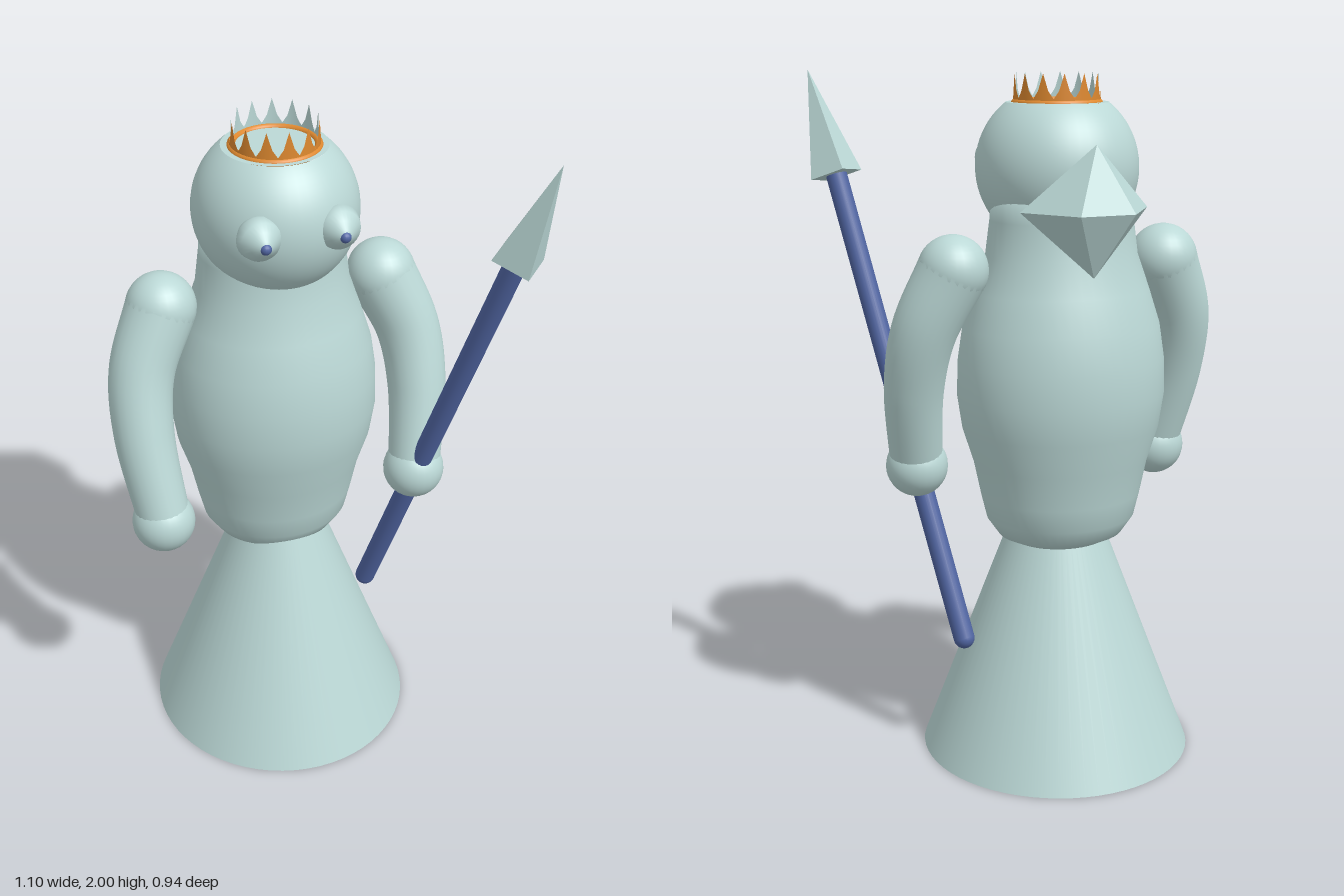
import * as THREE from 'three';
import { toCreasedNormals } from 'three/addons/utils/BufferGeometryUtils.js';
import { ConvexGeometry } from 'three/addons/geometries/ConvexGeometry.js';

const material = (name, color, opts = {}) => {
  const m = new THREE.MeshStandardMaterial({ color, ...opts });
  m.name = name;
  return m;
};

const v = (x, y, z) => new THREE.Vector3(x, y, z);

// Tube whose radius runs evenly from r0 to r1
function taperedTube(curve, r0, r1, steps = 32) {
  const sides = 24;
  const geo = new THREE.TubeGeometry(curve, steps, 1, sides);
  const pos = geo.attributes.position;
  const p = v(0, 0, 0);
  for (let i = 0; i <= steps; i++) {
    const c = curve.getPointAt(i / steps);
    const r = r0 + (r1 - r0) * (i / steps);
    for (let j = 0; j <= sides; j++) {
      const k = i * (sides + 1) + j;
      p.fromBufferAttribute(pos, k).sub(c).multiplyScalar(r).add(c);
      pos.setXYZ(k, p.x, p.y, p.z);
    }
  }
  return geo;
}

// Open band with a spiked upper rim
function spikedBand(radius) {
  const spikes = 13, rim = [1, 0.45, 0.2, 0.45];
  const geo = new THREE.CylinderGeometry(radius, radius, 0.085, spikes * 4, 1, true);
  geo.translate(0, 0.0425, 0);
  const pos = geo.attributes.position;
  for (let i = 0; i <= spikes * 4; i++) pos.setY(i, 0.085 * rim[i % 4]);
  return geo;
}

export function createModel() {
  const pale = material('paleStone', 0xbbd8d6);
  const paleInside = material('paleStone', 0xbbd8d6, { side: THREE.BackSide });
  const blue = material('blue', 0x5166a3);
  const orange = material('orange', 0xe08a30);

  const model = new THREE.Group();
  const figure = new THREE.Group();
  figure.name = 'figure';
  figure.position.x = -0.043;
  model.add(figure);

  const add = (name, geo, mat, x = 0, y = 0, z = 0, parent = figure) => {
    const mesh = new THREE.Mesh(geo, mat);
    mesh.name = name;
    mesh.position.set(x, y, z);
    parent.add(mesh);
    return mesh;
  };

  // Conical skirt
  const skirt = add('skirt', new THREE.CylinderGeometry(0.135, 0.4, 0.7, 64), pale, 0, 0.35, -0.055);
  skirt.scale.z = 1.03;

  // Pear-shaped torso
  const profile = [
    [0, 0.64], [0.12, 0.65], [0.185, 0.68], [0.22, 0.73], [0.237, 0.8], [0.258, 0.9], [0.29, 1.0],
    [0.305, 1.1], [0.302, 1.2], [0.287, 1.3], [0.255, 1.4], [0.22, 1.5], [0.207, 1.6], [0.2, 1.7], [0, 1.74],
  ].map(([x, y]) => new THREE.Vector2(x, y));
  const torso = add('torso', new THREE.LatheGeometry(profile, 48), pale, 0, 0, -0.09);
  torso.scale.z = 0.89;

  // Round head cut flat on top
  const headR = 0.23, headY = 1.74, cut = Math.acos(0.18 / headR);
  const head = add('head', new THREE.SphereGeometry(headR, 48, 32, 0, Math.PI * 2, cut, Math.PI - cut),
    pale, 0, headY, -0.055);
  head.scale.z = 1.03;
  add('headTop', new THREE.CircleGeometry(headR * Math.sin(cut) + 0.002, 48).rotateX(-Math.PI / 2),
    pale, 0, headY + 0.18, -0.055);

  // Crown
  const crown = new THREE.Group();
  crown.name = 'crown';
  crown.position.set(0, 1.915, -0.053);
  figure.add(crown);
  add('crownSpikes', spikedBand(0.122), orange, 0, 0, 0, crown);
  add('crownLining', spikedBand(0.116), paleInside, 0, 0, 0, crown);
  add('crownRing', new THREE.TorusGeometry(0.117, 0.012, 10, 52).rotateX(Math.PI / 2), orange, 0, 0.002, 0, crown);

  // Bulging eyes drawn out to a small tip
  const eyeProfile = [[0, -0.062], [0.045, -0.042], [0.062, 0], [0.055, 0.025], [0.036, 0.043], [0.018, 0.062], [0, 0.068]]
    .map(([x, y]) => new THREE.Vector2(x, y));
  const eyeGeo = new THREE.LatheGeometry(eyeProfile, 28).rotateX(Math.PI / 2);

  for (const [side, s] of [['left', 1], ['right', -1]]) {
    add(side + 'Eye', eyeGeo, pale, s * 0.108, 1.755, 0.145);
    add(side + 'Pupil', new THREE.SphereGeometry(0.016, 14, 10), blue, s * 0.108, 1.752, 0.204);

    // Arm with rounded shoulder and ball hand
    const path = new THREE.CatmullRomCurve3([
      v(s * 0.325, 1.47, -0.085), v(s * 0.398, 1.3, -0.045), v(s * 0.415, 1.13, 0.005), v(s * 0.388, 0.87, 0.08),
    ]);
    add(side + 'Arm', taperedTube(path, 0.1, 0.076), pale);
    add(side + 'Shoulder', new THREE.SphereGeometry(0.1, 28, 20), pale, s * 0.325, 1.47, -0.085);
    add(side + 'Hand', new THREE.SphereGeometry(0.091, 28, 20), pale, s * 0.388, s > 0 ? 0.875 : 0.86, 0.075);
  }

  // Faceted ornament behind the head
  const gem = new ConvexGeometry([
    v(0, 1.82, -0.32), v(0, 1.46, -0.31),
    v(-0.08, 1.64, -0.4), v(0.08, 1.64, -0.4),
    v(-0.19, 1.64, -0.245), v(0.19, 1.64, -0.245), v(0, 1.64, -0.18),
  ]);
  add('backOrnament', toCreasedNormals(gem, 0.1), pale);

  // Spear leaning through the left hand
  const foot = v(0.255, 0.37, -0.065), tip = v(0.53, 2.0, 0.47);
  const length = foot.distanceTo(tip), headLength = 0.32;
  const spear = new THREE.Group();
  spear.name = 'spear';
  spear.position.copy(foot);
  spear.quaternion.setFromUnitVectors(v(0, 1, 0), tip.clone().sub(foot).normalize());
  model.add(spear);
  const shaftLength = length - headLength + 0.02;
  add('spearShaft', new THREE.CylinderGeometry(0.031, 0.031, shaftLength, 20), blue, 0, shaftLength / 2, 0, spear);
  add('spearButt', new THREE.SphereGeometry(0.031, 20, 12), blue, 0, 0, 0, spear);
  add('spearHead', toCreasedNormals(new THREE.ConeGeometry(0.078, headLength, 4), 0.3), pale,
    0, length - headLength / 2, 0, spear);

  return model;
}
